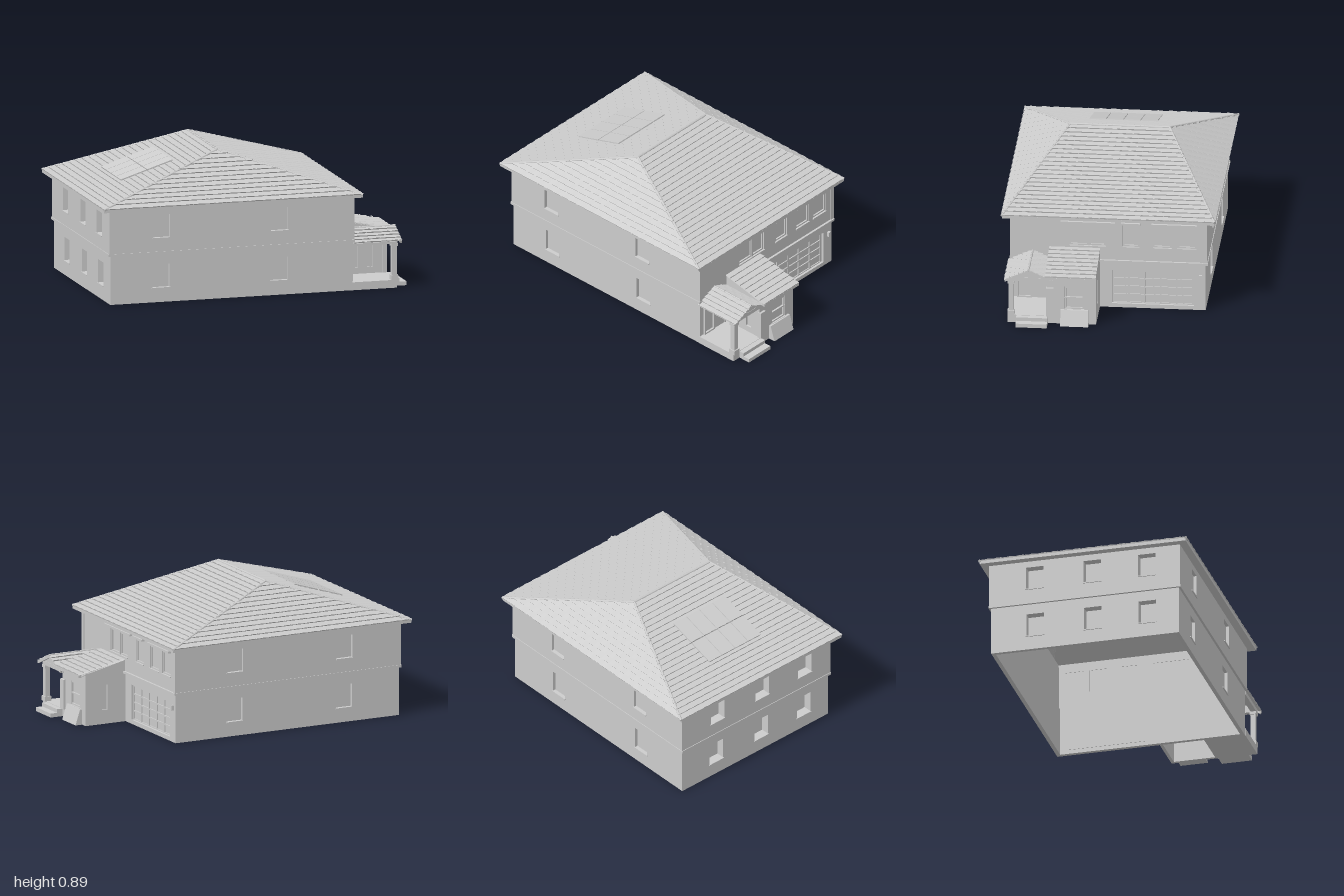
import * as THREE from 'three';

const plaster = new THREE.MeshStandardMaterial({ color: 0xcccccc, side: THREE.DoubleSide });
plaster.name = 'lightGrey';
const V = (x, y, z) => new THREE.Vector3(x, y, z);

function add(parent, name, geo) {
  const m = new THREE.Mesh(geo, plaster);
  m.name = name;
  parent.add(m);
  return m;
}

// Box given by its limits on each axis
function box(parent, name, x0, x1, y0, y1, z0, z1) {
  const m = add(parent, name, new THREE.BoxGeometry(x1 - x0, y1 - y0, z1 - z0));
  m.position.set((x0 + x1) / 2, (y0 + y1) / 2, (z0 + z1) / 2);
  return m;
}

// Flat panel with rectangular holes, its outer face at local z = front
function panel(parent, name, [u0, u1, y0, y1], holes, depth, front = 0) {
  const rect = (C, a, b, c, d) => new C([[a, c], [b, c], [b, d], [a, d]].map(p => new THREE.Vector2(...p)));
  const shape = rect(THREE.Shape, u0, u1, y0, y1);
  holes.forEach(h => shape.holes.push(rect(THREE.Path, ...h)));
  const m = add(parent, name, new THREE.ExtrudeGeometry(shape, { depth, bevelEnabled: false }));
  m.position.z = front - depth;
  return m;
}

// Local space of one wall side: x runs right and z runs outward
function side(root, name, angle, distance) {
  const g = new THREE.Group();
  g.name = name;
  g.rotation.y = angle;
  g.position.set(Math.sin(angle) * distance, 0, Math.cos(angle) * distance);
  root.add(g);
  return g;
}

// Recessed pane, optional sash frame and projecting sill
function glaze(parent, [a, b, c, d], depth, front, framed, sill = true) {
  box(parent, 'windowPane', a, b, c, d, front - depth, front - depth + 0.006);
  if (framed) panel(parent, 'windowFrame', [a, b, c, d],
    [[a + 0.009, b - 0.009, c + 0.009, d - 0.009]], 0.012, front - depth + 0.016);
  if (sill) box(parent, 'windowSill', a - 0.004, b + 0.004, c - 0.007, c, front - depth, front + 0.006);
}

// Stepped courses of tiles on a slope; A, B on the eave and C, D above them
function tiledSlope(parent, name, A, B, C, D, rows, tile = 0.036, lift = 0.009) {
  const e = B.clone().sub(A).normalize();
  const up = C.clone().sub(A);
  const c0 = up.dot(e), len = A.distanceTo(B), d0 = D.clone().sub(A).dot(e);
  up.addScaledVector(e, -c0);
  const n = e.clone().cross(up).normalize();
  const pos = [];
  const at = (s, t, h) => A.clone().addScaledVector(e, s).addScaledVector(up, t).addScaledVector(n, h);
  const quad = (...p) => [0, 1, 2, 0, 2, 3].forEach(i => pos.push(p[i].x, p[i].y, p[i].z));
  for (let r = 0; r < rows; r++) {
    const t0 = r / rows, t1 = (r + 1) / rows;
    const lo = c0 * t0, hi = len + (d0 - len) * t0;
    const lo1 = c0 * t1, hi1 = len + (d0 - len) * t1;
    const clamp = s => Math.min(Math.max(s, lo1), hi1);
    for (let k = Math.floor(lo / tile); k * tile < hi; k++) {
      const a = Math.max(lo, k * tile), b = Math.min(hi, (k + 1) * tile);
      if (b - a < 1e-5) continue;
      const h = (k + r) % 2 ? lift : lift * 0.75;
      quad(at(a, t0, h), at(b, t0, h), at(clamp(b), t1, 0), at(clamp(a), t1, 0));
      quad(at(a, t0, 0), at(b, t0, 0), at(b, t0, h), at(a, t0, h));
    }
  }
  quad(at(0, 0, -0.003), at(len, 0, -0.003), at(d0, 1, -0.003), at(c0, 1, -0.003));
  const g = new THREE.BufferGeometry();
  g.setAttribute('position', new THREE.Float32BufferAttribute(pos, 3));
  g.computeVertexNormals();
  add(parent, name, g);
}

// Row of overlapping cap tiles from p up to q
function caps(parent, name, p, q, r = 0.009) {
  const n = Math.max(4, Math.round(p.distanceTo(q) / 0.045));
  const dir = q.clone().sub(p);
  const geo = new THREE.CylinderGeometry(r * 0.75, r, dir.length() / n, 8);
  for (let i = 0; i < n; i++) {
    const m = add(parent, name, geo);
    m.position.copy(p).addScaledVector(dir, (i + 0.5) / n);
    m.quaternion.setFromUnitVectors(V(0, 1, 0), dir.clone().normalize());
  }
}

export function createModel() {
  const root = new THREE.Group();
  root.name = 'house';

  // Plain side walls: two storeys with a row of equal windows on each
  const plain = [
    ['frontWall', 0, 0.603, -0.936, 0.634, [-0.608, 0.158], 0.025],
    ['backWall', Math.PI, 0.603, -0.634, 0.936, [-0.22, 0.55], 0.025],
    ['leftWall', -Math.PI / 2, 0.936, -0.603, 0.603, [-0.32, 0.05, 0.4], 0.06],
  ];
  for (const [name, angle, dist, u0, u1, centres, depth] of plain) {
    const g = side(root, name, angle, dist);
    for (const [y0, y1, w0, w1, out] of [[0, 0.31, 0.093, 0.24, 0], [0.31, 0.6, 0.41, 0.555, 0.01]]) {
      const holes = centres.map(c => [c - 0.056, c + 0.056, w0, w1]);
      panel(g, 'wall', [u0 - out, u1 + out, y0, y1], holes, 0.025, out);
      for (const h of holes) {
        glaze(g, h, depth, out, false);
        if (depth > 0.03) panel(g, 'windowLining', [h[0] - 0.01, h[1] + 0.01, h[2] - 0.01, h[3] + 0.01],
          [h], depth - 0.02, out - 0.02);
      }
    }
    box(g, 'beltCourse', u0 - 0.012, u1 + 0.012, 0.306, 0.322, -0.01, 0.014);
  }

  // Street side: framed upper windows, garage and entrance
  const street = side(root, 'streetWall', Math.PI / 2, 0.634);
  const upper = [[-0.245, -0.127], [-0.121, -0.02], [0.087, 0.19], [0.275, 0.39], [0.43, 0.545]]
    .map(([a, b]) => [a, b, 0.412, 0.556]);
  panel(street, 'upperWall', [-0.612, 0.612, 0.31, 0.6], upper, 0.025, 0.004);
  upper.forEach(h => glaze(street, h, 0.022, 0.004, true));
  for (const [a, b] of [[-0.3, 0.04], [0.076, 0.2], [0.265, 0.55]])
    box(street, 'windowHood', a, b, 0.564, 0.577, 0, 0.024);
  const garage = [0.02, 0.53, 0.026, 0.25];
  panel(street, 'lowerWall', [-0.603, 0.603, 0, 0.31], [garage], 0.025);
  box(street, 'garageDoor', ...garage, -0.028, -0.022);
  const bars = [];
  for (let i = 0; i < 5; i++) for (let j = 0; j < 4; j++) {
    const a = 0.03 + i * 0.099, c = 0.032 + j * 0.054;
    bars.push([a, a + 0.089, c, c + 0.045]);
  }
  panel(street, 'garageDoorRails', garage, bars, 0.008, -0.015);
  box(street, 'garageLedge', -0.055, 0.612, 0.308, 0.322, 0, 0.018);
  box(street, 'wallLamp', 0.562, 0.581, 0.205, 0.238, 0, 0.016);
  panel(street, 'doorFrame', [-0.57, -0.375, 0.05, 0.272],
    [[-0.56, -0.487, 0.06, 0.262], [-0.477, -0.385, 0.05, 0.262]], 0.012, 0.012);
  box(street, 'frontDoor', -0.477, -0.385, 0.05, 0.262, 0, 0.006);
  box(street, 'doorHandle', -0.402, -0.397, 0.145, 0.16, 0.006, 0.016);

  // Main hipped roof with fascia, tiles and caps
  const roof = new THREE.Group();
  roof.name = 'mainRoof';
  root.add(roof);
  const ey = 0.614, ry = 0.882, rx = -0.155;
  const eave = [V(-0.995, ey, 0.663), V(0.684, ey, 0.663), V(0.684, ey, -0.663), V(-0.995, ey, -0.663)];
  const r0 = V(rx, ry, 0.31), r1 = V(rx, ry, -0.31);
  const [a, b, c, d] = eave;
  tiledSlope(roof, 'frontTiles', a, b, r0, r0, 12);
  tiledSlope(roof, 'rightTiles', b, c, r0, r1, 22);
  tiledSlope(roof, 'backTiles', c, d, r1, r1, 12);
  tiledSlope(roof, 'leftTiles', d, a, r1, r0, 22);
  [[a, r0], [b, r0], [c, r1], [d, r1]].forEach(([p, q]) => caps(roof, 'hipCap', p, q));
  caps(roof, 'ridgeCap', r0, r1);
  const soffit = panel(roof, 'eavesBoard', [-0.994, 0.683, -0.662, 0.662], [[-0.925, 0.615, -0.59, 0.59]], 0.02);
  soffit.rotation.x = -Math.PI / 2;
  soffit.position.set(0, 0.595, 0);

  // Solar panels lying on the left slope
  const solar = new THREE.Group();
  solar.name = 'solarPanels';
  solar.position.set(-0.58, ey + (ry - ey) * 0.415 / 0.84 + 0.01, 0);
  solar.rotation.z = Math.atan2(ry - ey, 0.84);
  for (let i = 0; i < 2; i++) for (let j = 0; j < 4; j++) {
    const x = -0.176 + i * 0.179, z = -0.213 + j * 0.107;
    box(solar, 'solarPanel', x, x + 0.173, -0.004, 0.004, z, z + 0.103);
  }
  root.add(solar);

  // Bay beside the entrance with a lean-to roof
  const bay = new THREE.Group();
  bay.name = 'bay';
  root.add(bay);
  const bayFront = side(bay, 'bayFront', Math.PI / 2, 0.915);
  const bw = [-0.25, -0.13, 0.1, 0.25];
  panel(bayFront, 'bayWall', [-0.36, -0.055, 0, 0.335], [bw], 0.02);
  glaze(bayFront, bw, 0.02, 0, true);
  box(bayFront, 'windowBar', bw[0], bw[1], 0.172, 0.18, -0.016, -0.002);
  const bayLeft = side(bay, 'baySide', 0, 0.36);
  const slits = [[0.705, 0.742, 0.09, 0.25], [0.8, 0.84, 0.09, 0.25]];
  panel(bayLeft, 'bayWall', [0.634, 0.915, 0, 0.335], slits, 0.02);
  slits.forEach(h => glaze(bayLeft, h, 0.018, 0, false, false));
  const bayRight = side(bay, 'baySide', Math.PI, -0.055);
  bayRight.position.set(0, 0, 0.055);
  const slit = [-0.8, -0.76, 0.09, 0.25];
  panel(bayRight, 'bayWall', [-0.915, -0.634, 0, 0.335], [slit], 0.02);
  glaze(bayRight, slit, 0.018, 0, false, false);
  tiledSlope(bay, 'bayTiles', V(0.966, 0.33, 0.37), V(0.966, 0.33, 0.055),
    V(0.634, 0.398, 0.37), V(0.634, 0.398, 0.055), 8);
  box(bay, 'bayFascia', 0.945, 0.965, 0.312, 0.33, 0.055, 0.37);
  for (const z of [0.055, 0.355]) {
    const s = new THREE.Shape([[0.634, 0.32], [0.95, 0.32], [0.634, 0.392]].map(p => new THREE.Vector2(...p)));
    add(bay, 'bayGable', new THREE.ExtrudeGeometry(s, { depth: 0.01, bevelEnabled: false })).position.z = z;
  }
  box(bay, 'cornerPilaster', 0.9, 0.93, 0.05, 0.24, 0.32, 0.365);
  const skirt = new THREE.Shape([[0.915, 0], [0.962, 0], [0.93, 0.098], [0.915, 0.098]].map(p => new THREE.Vector2(...p)));
  add(bay, 'slopedPlinth', new THREE.ExtrudeGeometry(skirt, { depth: 0.175, bevelEnabled: false })).position.z = 0.1;

  // Porch: floor, steps, post, beams and gabled roof
  const porch = new THREE.Group();
  porch.name = 'porch';
  root.add(porch);
  box(porch, 'porchFloor', 0.634, 0.92, 0, 0.05, 0.36, 0.605);
  box(porch, 'lowerStep', 0.92, 1.0, 0, 0.025, 0.355, 0.55);
  box(porch, 'upperStep', 0.92, 0.955, 0.025, 0.048, 0.355, 0.55);
  box(porch, 'post', 0.892, 0.922, 0.05, 0.285, 0.568, 0.6);
  box(porch, 'postBase', 0.885, 0.93, 0.05, 0.08, 0.562, 0.606);
  box(porch, 'postCapital', 0.886, 0.928, 0.262, 0.28, 0.562, 0.606);
  box(porch, 'sideBeam', 0.634, 0.925, 0.28, 0.305, 0.57, 0.605);
  box(porch, 'frontBeam', 0.895, 0.925, 0.28, 0.305, 0.34, 0.605);
  const gable = new THREE.Shape([[-0.605, 0.305], [-0.34, 0.305], [-0.473, 0.362]].map(p => new THREE.Vector2(...p)));
  const gm = add(porch, 'porchGable', new THREE.ExtrudeGeometry(gable, { depth: 0.015, bevelEnabled: false }));
  gm.rotation.y = Math.PI / 2;
  gm.position.x = 0.908;
  const p0 = V(0.634, 0.368, 0.473), p1 = V(0.95, 0.368, 0.473);
  tiledSlope(porch, 'porchTiles', V(0.634, 0.3, 0.622), V(0.95, 0.3, 0.622), p0, p1, 5);
  tiledSlope(porch, 'porchTiles', V(0.95, 0.3, 0.322), V(0.634, 0.3, 0.322), p1, p0, 5);
  caps(porch, 'porchRidgeCap', p1, p0, 0.007);
  for (const s of [-1, 1]) {
    const rake = add(porch, 'rakeBoard', new THREE.BoxGeometry(0.012, 0.016, 0.163));
    rake.position.set(0.943, 0.325, 0.473 + s * 0.075);
    rake.rotation.x = s * Math.atan2(0.068, 0.15);
  }
  return root;
}
